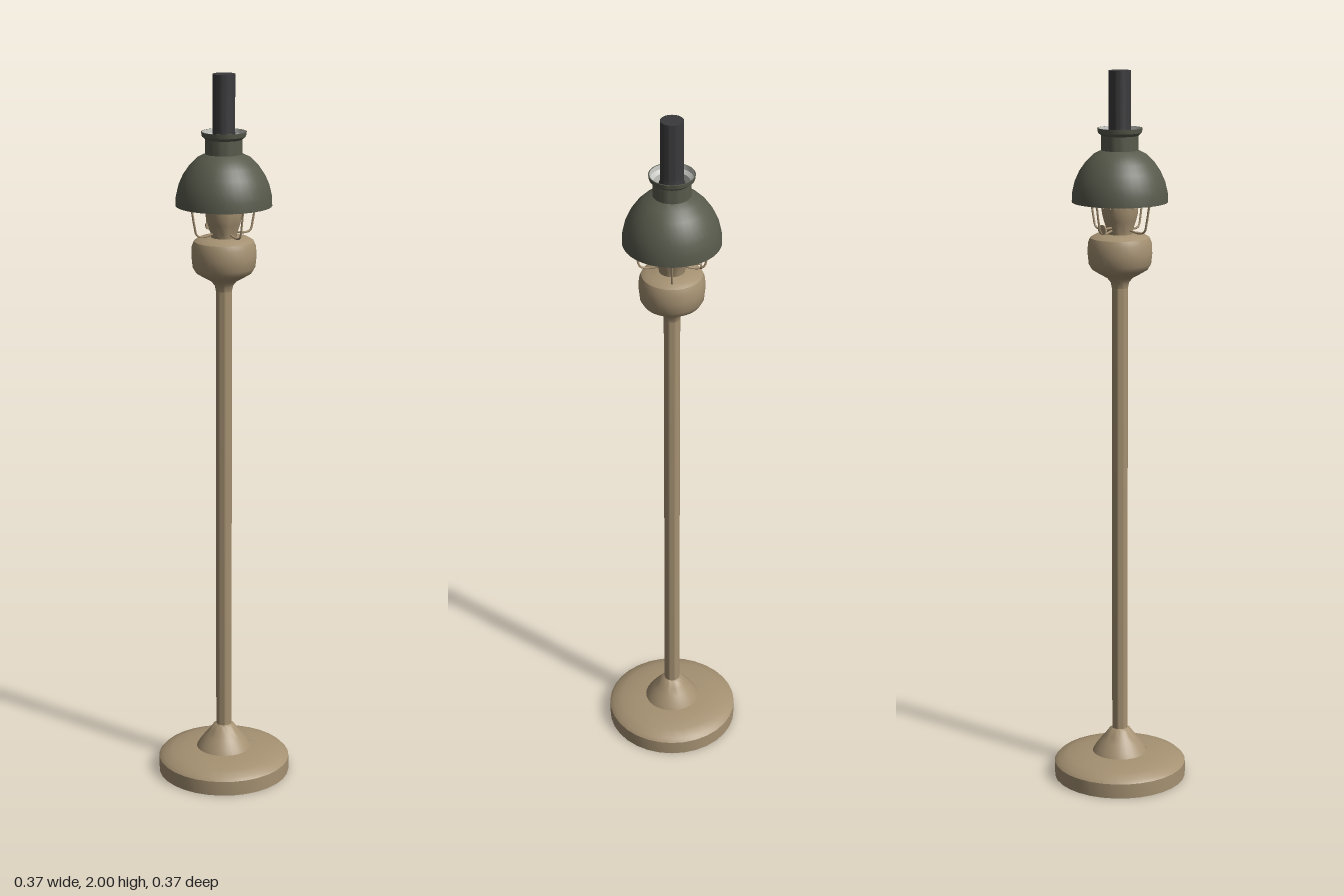
import * as THREE from 'three';
import { toCreasedNormals } from 'three/addons/utils/BufferGeometryUtils.js';

const mat = (name, color, side = THREE.FrontSide) => {
  const m = new THREE.MeshStandardMaterial({ color, side });
  m.name = name;
  return m;
};

export function createModel() {
  const brass = mat('aged brass', 0xa59172, THREE.DoubleSide);
  const olive = mat('olive enamel', 0x585a4c);
  const white = mat('pale enamel lining', 0xc4c4c0);
  const smoke = mat('smoked glass', 0x3a3a3c);

  const lamp = new THREE.Group();
  lamp.name = 'floorLamp';

  const add = (name, geometry, material, parent = lamp) => {
    const mesh = new THREE.Mesh(geometry, material);
    mesh.name = name;
    parent.add(mesh);
    return mesh;
  };
  // Turned part: profile of [radius, height] pairs, listed upward for outward faces
  const turn = (name, profile, material, sides = 32) => add(name, toCreasedNormals(
    new THREE.LatheGeometry(profile.map(([r, y]) => new THREE.Vector2(r, y)), sides), 0.6), material);

  // Hollow foot and its bell
  turn('base', [[0.187, 0], [0.187, 0.042], [0.178, 0.051], [0.15, 0.061], [0.115, 0.068], [0.078, 0.071]], brass);
  turn('baseBell', [[0.078, 0.07], [0.07, 0.084], [0.055, 0.104], [0.04, 0.122], [0.03, 0.136], [0.022, 0.141]], brass);

  // Pole
  turn('pole', [[0, 0.135], [0.022, 0.135], [0.022, 1.43]], brass, 24);

  // Fuel font
  turn('font', [[0.022, 1.415], [0.025, 1.43], [0.035, 1.443], [0.058, 1.456], [0.076, 1.467], [0.085, 1.482],
    [0.088, 1.51], [0.087, 1.538], [0.081, 1.553], [0.066, 1.562], [0, 1.565]], brass);

  // Burner and pronged gallery
  turn('burner', [[0.034, 1.56], [0.036, 1.575], [0.044, 1.6], [0.049, 1.62], [0.05, 1.64], [0, 1.64]], brass);
  const prongs = new THREE.Group();
  prongs.name = 'galleryProngs';
  lamp.add(prongs);
  for (let i = 0; i < 12; i++) {
    const a = (i * Math.PI) / 6;
    const prong = add('prong', new THREE.BoxGeometry(0.016, 0.035, 0.003), brass, prongs);
    prong.position.set(Math.sin(a) * 0.051, 1.652, Math.cos(a) * 0.051);
    prong.rotation.y = a;
  }

  // Wick winder at the back
  const winder = add('wickShaft', new THREE.CylinderGeometry(0.003, 0.003, 0.05, 8), brass);
  winder.rotation.x = Math.PI / 2;
  winder.position.set(0, 1.583, -0.052);
  const knob = add('wickKnob', new THREE.CylinderGeometry(0.013, 0.013, 0.005, 16), brass);
  knob.rotation.x = Math.PI / 2;
  knob.position.set(0, 1.583, -0.076);

  // Four wire arms and the ring carrying the shade
  const armPath = new THREE.CatmullRomCurve3([[0.035, 1.575], [0.065, 1.57], [0.083, 1.575], [0.092, 1.605],
    [0.1, 1.645], [0.108, 1.66], [0.126, 1.66]].map(([x, y]) => new THREE.Vector3(x, y, 0)));
  const armGeometry = new THREE.TubeGeometry(armPath, 24, 0.003, 6);
  for (let i = 0; i < 4; i++) add('shadeArm', armGeometry, brass).rotation.y = (i * Math.PI) / 2;
  const ring = add('shadeRing', new THREE.TorusGeometry(0.124, 0.003, 6, 32), brass);
  ring.rotation.x = Math.PI / 2;
  ring.position.y = 1.66;

  // Domed shade, with a pale lining just inside it
  const shade = [[0.13, 1.65], [0.129, 1.675], [0.122, 1.705], [0.11, 1.732], [0.093, 1.757], [0.072, 1.778],
    [0.05, 1.789], [0.05, 1.828], [0.059, 1.836], [0.061, 1.848]];
  turn('shade', shade, olive, 40);
  turn('shadeLining', shade.map(([r, y]) => [r - 0.003, y - (r < 0.125 && y < 1.79 ? 0.002 : 0)]).reverse(), white, 40);
  turn('shadeBottomEdge', [[0.127, 1.65], [0.13, 1.65]], olive, 40);
  turn('shadeTopLip', [[0.061, 1.848], [0.058, 1.848]], olive, 40);

  // Chimney: wide bulb drawn in to a straight flue
  turn('chimney', [[0, 1.645], [0.046, 1.645], [0.049, 1.68], [0.049, 1.75], [0.046, 1.785], [0.038, 1.81],
    [0.031, 1.83], [0.03, 1.85], [0.03, 2], [0, 2]], smoke);

  return lamp;
}
